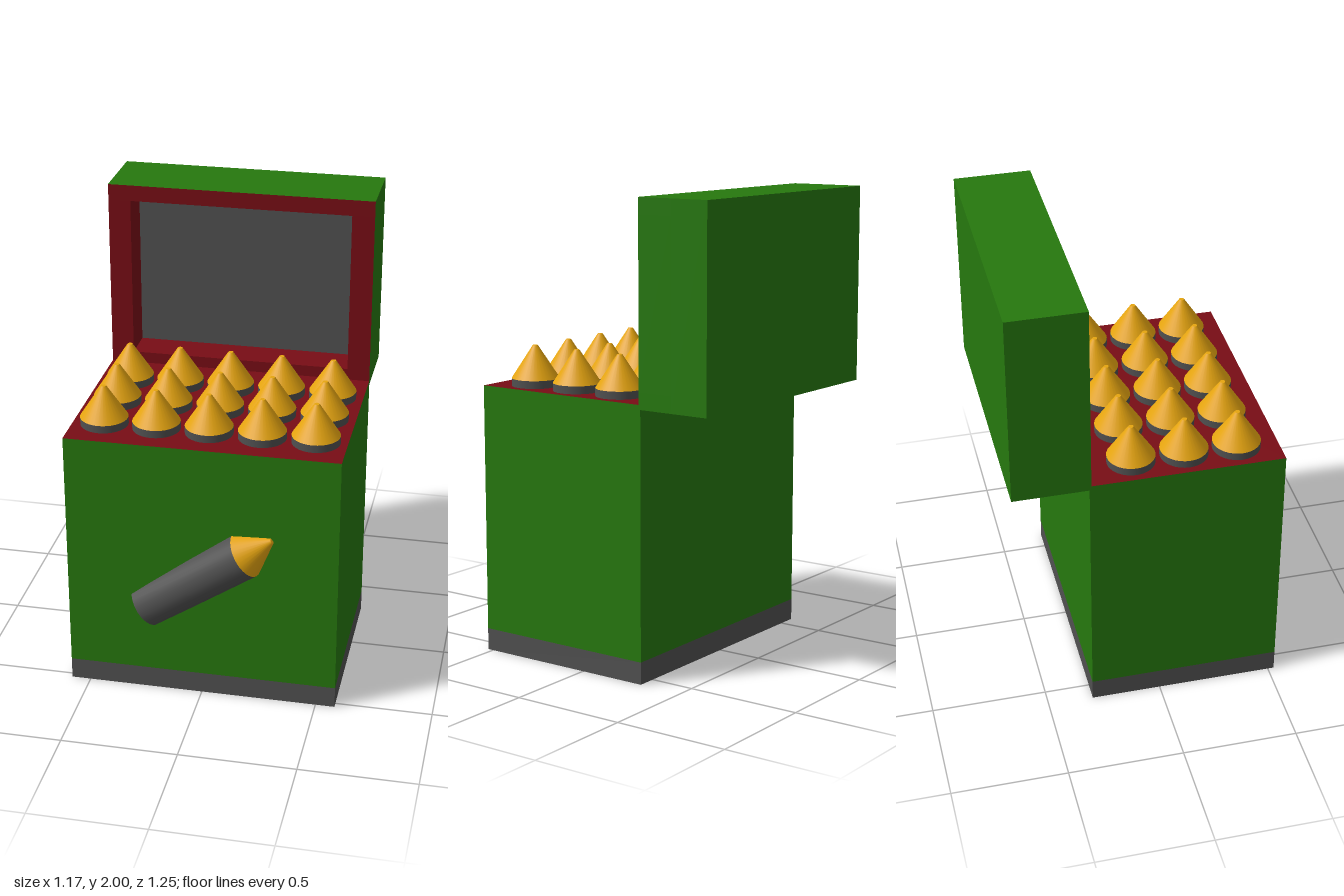
import * as THREE from 'three';

const paint = (color) => new THREE.MeshStandardMaterial({ color });

export function createModel() {
  const model = new THREE.Group();
  const green = paint(0x26780e), red = paint(0x780d15), grey = paint(0x505050), gold = paint(0xe6a510);

  // Box given by its bounds; faces = materials for +x, -x, +y, -y, +z, -z
  function box(name, [x0, x1], [y0, y1], [z0, z1], faces, parent = model) {
    const mesh = new THREE.Mesh(new THREE.BoxGeometry(x1 - x0, y1 - y0, z1 - z0), faces);
    mesh.position.set((x0 + x1) / 2, (y0 + y1) / 2, (z0 + z1) / 2);
    mesh.name = name;
    parent.add(mesh);
  }

  // Shell standing on its base: grey casing with a blunt golden cone
  const radius = 0.102, tipHeight = 0.14;
  function shell(name, length) {
    const group = new THREE.Group();
    group.name = name;
    const casing = new THREE.Mesh(new THREE.CylinderGeometry(radius, radius, length, 32), grey);
    casing.name = 'casing';
    casing.position.y = length / 2;
    const tip = new THREE.Mesh(new THREE.CylinderGeometry(0.011, radius, tipHeight, 32), gold);
    tip.name = 'tip';
    tip.position.y = length + tipHeight / 2;
    group.add(casing, tip);
    model.add(group);
    return group;
  }

  // Crate: grey band at the foot, green walls, red top
  const W = 0.583, width = [-W, W], depth = [-0.303, 0.527];
  box('baseBand', width, [0, 0.095], depth, [grey, grey, grey, green, grey, grey]);
  box('crateBody', width, [0.095, 1.17], depth, [green, green, red, green, green, green]);

  // Open lid: back slab with a grey inner panel, and a red-faced rim around it
  const lid = new THREE.Group();
  lid.name = 'lid';
  model.add(lid);
  const rim = [-0.455, -0.295], inner = 0.485;
  box('lidBack', width, [1.15, 2], [-0.625, -0.455], [green, green, green, green, grey, green], lid);
  box('lidTopRail', width, [1.93, 2], rim, [green, green, green, red, red, green], lid);
  box('lidBottomRail', width, [1.15, 1.22], rim, [green, green, red, green, red, green], lid);
  box('lidLeftRail', [inner, W], [1.22, 1.93], rim, [green, red, red, red, red, green], lid);
  box('lidRightRail', [-W, -inner], [1.22, 1.93], rim, [red, green, red, red, red, green], lid);

  // Three rows of five shells poking out of the top
  for (let row = 0; row < 3; row++) {
    for (let col = -2; col <= 2; col++) {
      shell('shell', 0.055).position.set(col * 0.225, 1.148, -0.1 + row * 0.225);
    }
  }

  // Shell emblem half sunk into the front wall, leaning slightly outward
  const start = new THREE.Vector3(-0.25, 0.388, 0.475);
  const axis = new THREE.Vector3(0.19, 0.705, 0.522).sub(start);
  const emblem = shell('frontShell', axis.length());
  emblem.position.copy(start);
  emblem.quaternion.setFromUnitVectors(new THREE.Vector3(0, 1, 0), axis.normalize());

  return model;
}
